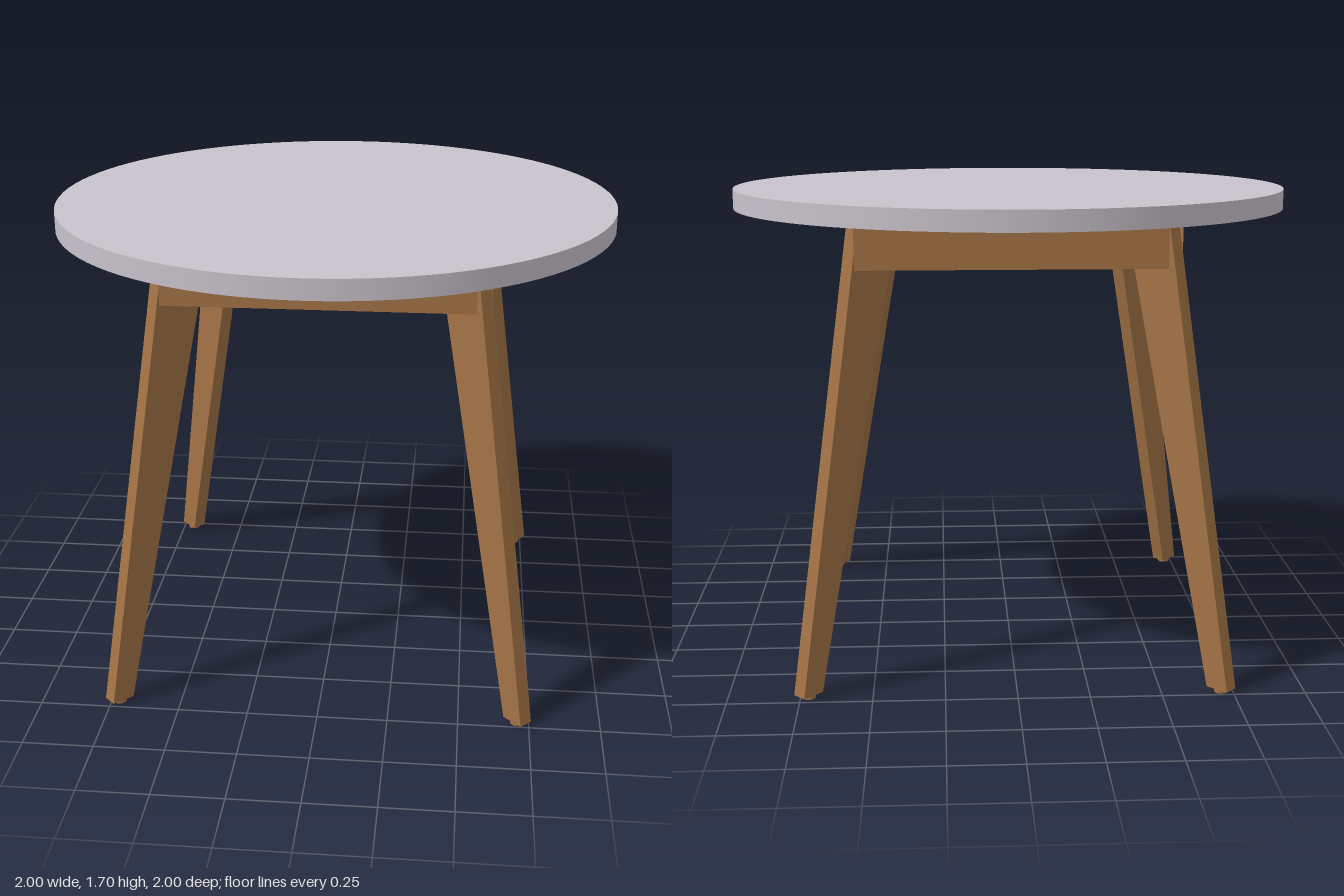
import * as THREE from 'three';

const wood = new THREE.MeshStandardMaterial({ name: 'wood', color: 0xa37346 });
const paleTop = new THREE.MeshStandardMaterial({ name: 'paleTop', color: 0xc9c3cb });

const TOP = 1.63, APRON_LOW = 1.46, LEG_LOW = 0.015;
const LEG_THICK = 0.053, LEG_SHIFT = 0.009;

function extrude(points, depth) {
  const shape = new THREE.Shape(points.map(([x, y]) => new THREE.Vector2(x, y)));
  return new THREE.ExtrudeGeometry(shape, { depth, bevelEnabled: false });
}

function addMesh(parent, name, geometry, material) {
  const mesh = new THREE.Mesh(geometry, material);
  mesh.name = name;
  parent.add(mesh);
  return mesh;
}

export function createModel() {
  const table = new THREE.Group();
  table.name = 'roundTable';

  // round table top
  addMesh(table, 'tableTop', new THREE.CylinderGeometry(1, 1, 0.07, 96), paleTop)
    .position.y = TOP + 0.035;

  // tapered leg blade, drawn as radius against height
  const legGeometry = extrude(
    [[0.97, LEG_LOW], [1.054, LEG_LOW], [0.762, TOP], [0.575, TOP]], LEG_THICK);
  legGeometry.translate(0, 0, LEG_SHIFT - LEG_THICK / 2);

  const footGeometry = new THREE.CylinderGeometry(0.023, 0.023, LEG_LOW, 16);
  footGeometry.translate(1.01, LEG_LOW / 2, LEG_SHIFT);

  // apron rail with mitred ends that meet the legs
  const railGeometry = extrude(
    [[-0.541, -0.566], [0.516, -0.566], [0.406, -0.456], [-0.431, -0.456]],
    TOP - APRON_LOW);
  railGeometry.rotateX(-Math.PI / 2).translate(0, APRON_LOW, 0);

  // four quarter turns of leg, foot and rail
  for (let i = 0; i < 4; i++) {
    const turn = i * Math.PI / 2;
    const leg = new THREE.Group();
    leg.name = 'leg';
    leg.rotation.y = turn - Math.PI / 4;
    addMesh(leg, 'legBlade', legGeometry, wood);
    addMesh(leg, 'footPad', footGeometry, wood);
    table.add(leg);
    addMesh(table, 'apronRail', railGeometry, wood).rotation.y = turn;
  }
  return table;
}
